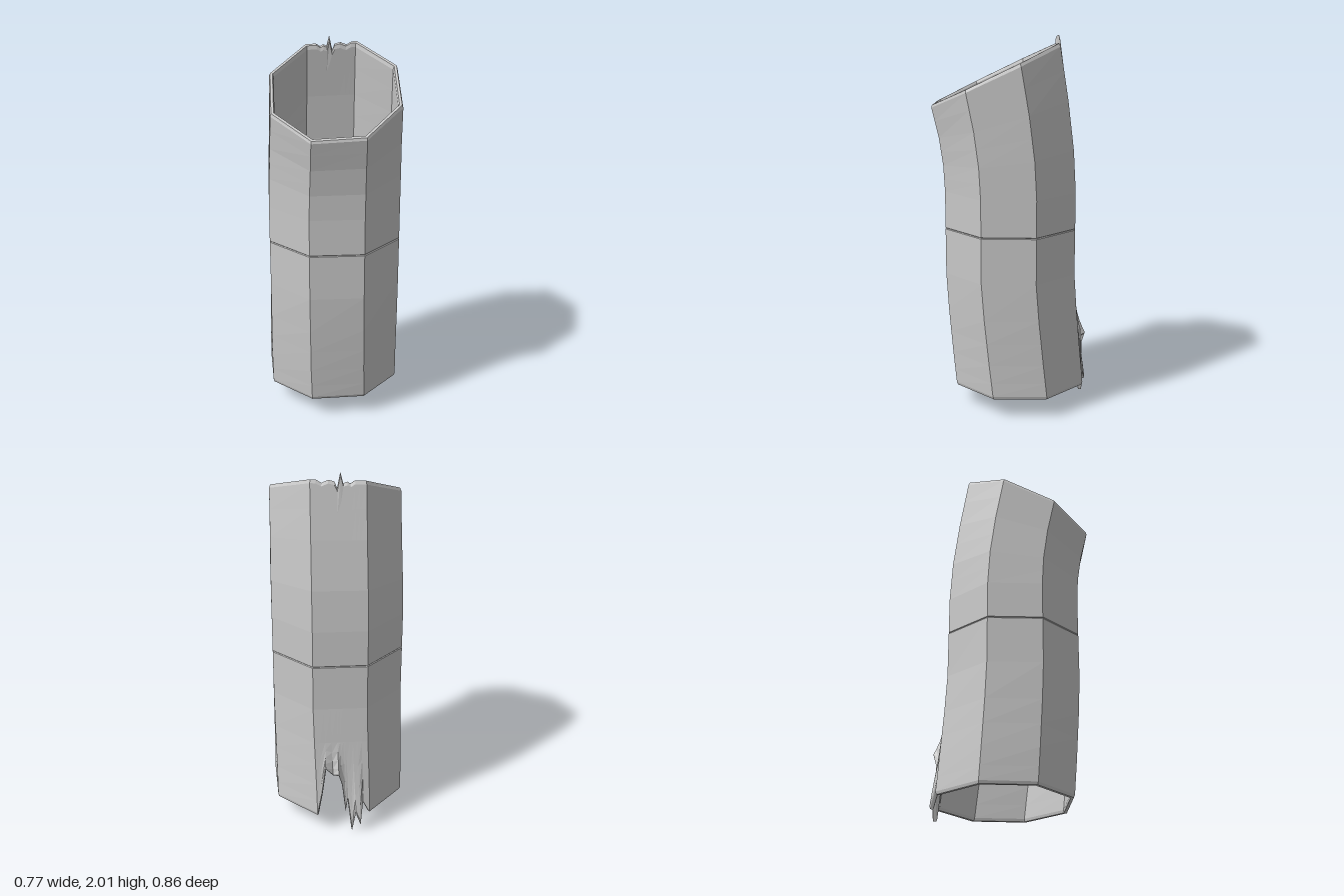
import * as THREE from 'three';

// Centre line: height, centre x, centre z, radius, tilt (0..1), twist in degrees
const STATIONS = [
  [0.11, 0.015, -0.045, 0.375, 0, 2.3],
  [0.3, 0.008, -0.03, 0.375, 0, 1.5],
  [0.55, 0.003, -0.011, 0.374, 0, 0.6],
  [0.75, 0, 0, 0.373, 0, 0],
  [1.2, 0, 0, 0.373, 0, 0],
  [1.38, -0.002, 0.01, 0.37, 0.25, 0],
  [1.58, -0.01, 0.035, 0.364, 0.6, 0],
  [1.81, -0.025, 0.075, 0.36, 1, 0],
];
const BOTTOM = 0.11, TOP = 1.81, TEAR_TOP = 0.55, NOTCH_LOW = 1.58;
const TORN_SIDE = 3;

// Torn side: position along the side, bottom edge, outward bend, top edge offset
const TEAR = [
  [0, 0.11, 0, 0], [0.1, 0.24, 0.005, 0], [0.2, 0.4, 0.02, -0.012],
  [0.32, 0.35, 0, 0], [0.43, 0.37, 0.045, -0.005], [0.48, 0.3, 0.02, -0.03],
  [0.54, 0.13, 0.005, 0.04], [0.59, 0.2, 0, -0.012], [0.66, 0, 0.01, -0.005],
  [0.72, 0.12, 0.02, -0.012], [0.8, 0.05, 0.03, 0], [0.88, 0.18, 0, 0], [1, 0.11, 0, 0],
];

function station(v) {
  if (v <= BOTTOM) return STATIONS[0];
  for (let i = 1; i < STATIONS.length; i++) {
    const a = STATIONS[i - 1], b = STATIONS[i];
    if (v <= b[0]) {
      const t = (v - a[0]) / (b[0] - a[0]);
      return a.map((n, k) => n + (b[k] - n) * t);
    }
  }
  return STATIONS[STATIONS.length - 1];
}

// Point on the bent octagonal wall
function wallPoint(col, v, inset) {
  const low = THREE.MathUtils.clamp((TEAR_TOP - v) / (TEAR_TOP - BOTTOM), 0, 1);
  const high = THREE.MathUtils.clamp((v - NOTCH_LOW) / (TOP - NOTCH_LOW), 0, 1);
  const y = v + (col.lo - BOTTOM) * low + col.hi * high;
  const [, cx, cz, radius, tilt, twist] = station(y);
  const r = radius - inset + col.bend * low * low;
  const corner = (k) => {
    const a = k * Math.PI / 4 + THREE.MathUtils.degToRad(twist);
    return new THREE.Vector2(r * Math.sin(a), r * Math.cos(a));
  };
  const p = corner(col.side).lerp(corner(col.side + 1), col.s);
  return new THREE.Vector3(cx + p.x, y + tilt * (0.23 * p.x - 0.43 * p.y), cz + p.y);
}

function makeColumns() {
  const cols = [];
  for (let side = 0; side < 8; side++) {
    if (side === TORN_SIDE) {
      TEAR.slice(0, -1).forEach(([s, lo, bend, hi]) => cols.push({ side, s, lo, bend, hi }));
    } else cols.push({ side, s: 0, lo: BOTTOM, bend: 0, hi: 0 });
  }
  return cols;
}

// Sweep a closed wall profile of [height, inset] around all columns
function makeTube(name, profile, material) {
  const grid = makeColumns().map((c) => profile.map(([v, inset]) => wallPoint(c, v, inset)));
  const pos = [];
  const n = grid.length, m = profile.length;
  for (let i = 0; i < n; i++) {
    for (let j = 0; j < m; j++) {
      const a = grid[i][j], b = grid[(i + 1) % n][j];
      const c = grid[(i + 1) % n][(j + 1) % m], d = grid[i][(j + 1) % m];
      for (const p of [a, b, c, a, c, d]) pos.push(p.x, p.y, p.z);
    }
  }
  const geometry = new THREE.BufferGeometry();
  geometry.setAttribute('position', new THREE.Float32BufferAttribute(pos, 3));
  geometry.computeVertexNormals(); // unshared corners keep the facets flat
  const mesh = new THREE.Mesh(geometry, material);
  mesh.name = name;
  return mesh;
}

export function createModel() {
  const metal = new THREE.MeshStandardMaterial({ color: 0xc8c8c8 });
  metal.name = 'pale grey metal';
  const group = new THREE.Group();
  group.name = 'bentPipe';

  const wall = 0.026;
  const inner = (heights) => heights.slice().reverse().map((v) => [v, wall]);

  // Lower half, torn open at the back
  const lower = [0.125, 0.2, 0.3, 0.42, 0.55, 0.75];
  group.add(makeTube('lowerPipe', [
    [BOTTOM, 0.005], ...lower.map((v) => [v, 0]), [0.996, 0], [1, 0.004],
    [1, wall], ...inner(lower), [BOTTOM, 0.022],
  ], metal));

  // Upper half, bending forward to a slanted rim
  const upper = [1.2, 1.29, 1.38, 1.48, 1.58, 1.7, 1.795];
  group.add(makeTube('upperPipe', [
    [1, 0.004], [1.004, 0], ...upper.map((v) => [v, 0]), [TOP, 0.006],
    [TOP, 0.02], ...inner(upper), [1, wall],
  ], metal));

  return group;
}
